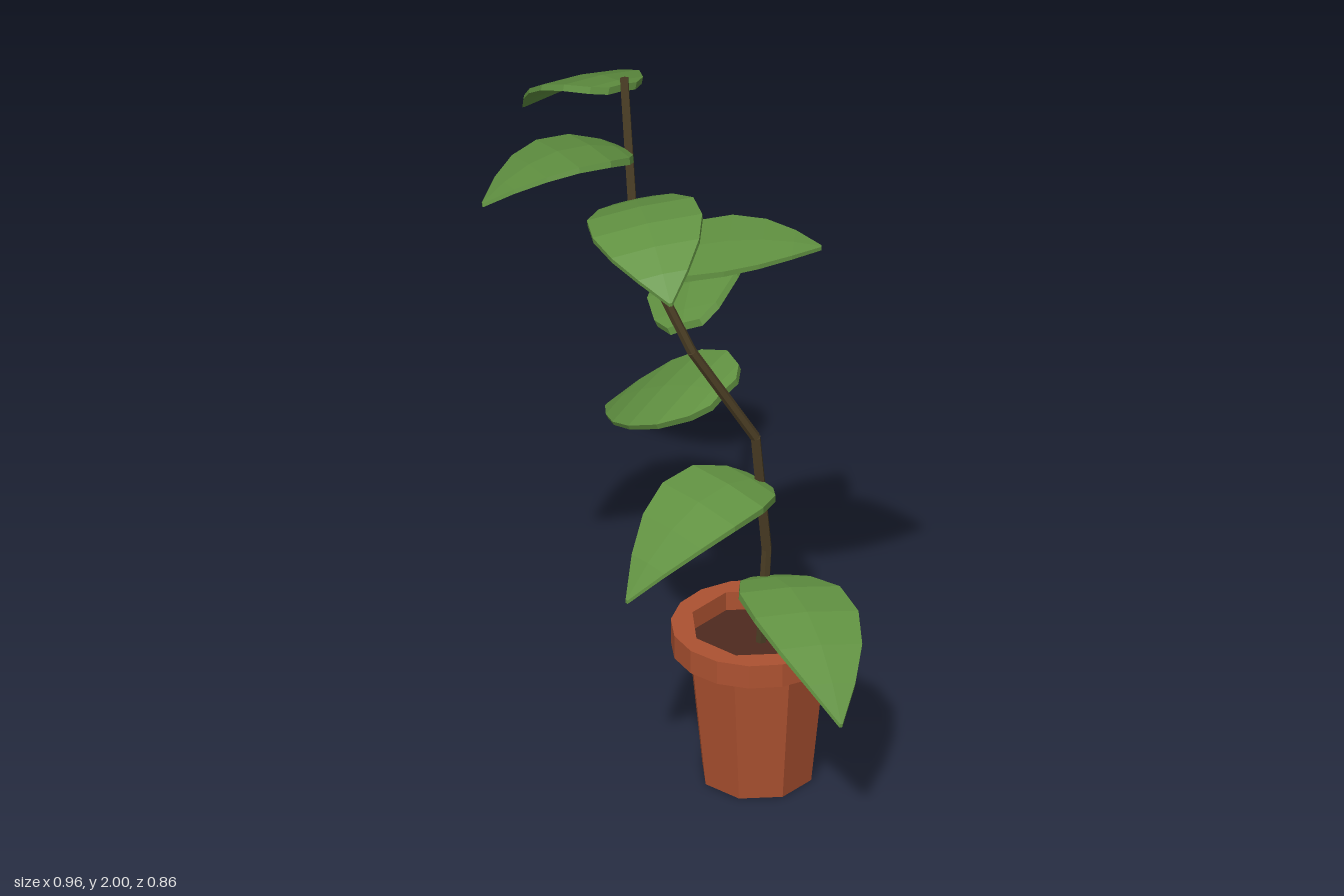
import * as THREE from 'three';

const mat = (color) => new THREE.MeshStandardMaterial({ color, flatShading: true });
const clay = mat(0xad5231), soilMat = mat(0x4f2a1f), bark = mat(0x4a3d24), green = mat(0x629342);

const V = (p) => new THREE.Vector3(...p);
const UP = new THREE.Vector3(0, 1, 0);
const FACET = THREE.MathUtils.degToRad(32); // turn of the eight-sided pot

function add(parent, name, geometry, material) {
  const mesh = new THREE.Mesh(geometry, material);
  mesh.name = name;
  parent.add(mesh);
  return mesh;
}

const polygon = (n, r, start) => Array.from({ length: n }, (_, i) => {
  const a = start + (i / n) * Math.PI * 2;
  return new THREE.Vector2(r * Math.cos(a), r * Math.sin(a));
});

// Eight-sided tapered pot, sixteen-sided rim with an eight-sided opening, soil inside
function makePot() {
  const pot = new THREE.Group();
  pot.name = 'pot';
  pot.position.set(0.19, 0, -0.05);

  add(pot, 'potBody', new THREE.CylinderGeometry(0.182, 0.144, 0.37, 8, 1, false, FACET), clay).position.y = 0.185;

  const ring = new THREE.Shape(polygon(16, 0.217, 0));
  ring.holes.push(new THREE.Path(polygon(8, 0.17, FACET)));
  const rim = add(pot, 'potRim', new THREE.ExtrudeGeometry(ring, { depth: 0.065, bevelEnabled: false }), clay);
  rim.rotation.x = -Math.PI / 2;
  rim.position.y = 0.367;

  const soil = add(pot, 'soil', new THREE.CircleGeometry(0.172, 8, FACET), soilMat);
  soil.rotation.x = -Math.PI / 2;
  soil.position.y = 0.38;
  return pot;
}

// Bent stem of straight tapering pieces
function makeStem() {
  const stem = new THREE.Group();
  stem.name = 'stem';
  const path = [
    [0.2, 0.36, -0.05], [0.215, 0.65, -0.05], [0.19, 0.99, -0.02],
    [0.035, 1.27, 0.045], [-0.11, 1.59, 0.045], [-0.145, 2.0, -0.055],
  ].map(V);
  for (let i = 0; i + 1 < path.length; i++) {
    const along = path[i + 1].clone().sub(path[i]);
    const r = 0.0145 - i * 0.0006;
    const piece = add(stem, 'stemPiece', new THREE.CylinderGeometry(r - 0.0006, r, along.length(), 6), bark);
    piece.position.copy(path[i]).addScaledVector(along, 0.5);
    piece.quaternion.setFromUnitVectors(UP, along.normalize());
  }
  return stem;
}

// Leaf outline: [fraction of length, half width]
const OUTLINE = [[0, 0.05], [0.07, 0.096], [0.24, 0.138], [0.46, 0.142], [0.66, 0.114], [0.84, 0.064], [1, 0.004]];

// Thin solid leaf, swept from base to tip along an arch and rolled about its length
function leafGeometry(base, tip, arch, roll) {
  const chord = tip.clone().sub(base);
  const flat = new THREE.Vector3(chord.x, 0, chord.z).normalize();
  const side = UP.clone().cross(flat).applyAxisAngle(flat, roll);
  const normal = UP.clone().applyAxisAngle(flat, roll);

  const pos = [], index = [], N = 6;
  for (const [t, w] of OUTLINE) {
    const mid = base.clone().addScaledVector(chord, t).addScaledVector(normal, 4 * arch * t * (1 - t));
    const thick = 0.02 - 0.01 * t;
    for (const [s, down] of [[-1, 0], [0, 0], [1, 0], [1, 1], [0, 1], [-1, 1]]) {
      const p = mid.clone().addScaledVector(side, s * w);
      p.addScaledVector(normal, (s ? 0 : 0.05 * w) - down * thick);
      pos.push(p.x, p.y, p.z);
    }
  }
  const last = (OUTLINE.length - 1) * N;
  for (let r = 0; r < last; r += N) {
    for (let k = 0; k < N; k++) {
      const a = r + k, b = r + ((k + 1) % N);
      index.push(a, a + N, b + N, a, b + N, b);
    }
  }
  for (let k = 1; k < N - 1; k++) {
    index.push(0, k, k + 1, last, last + k + 1, last + k);
  }
  const g = new THREE.BufferGeometry();
  g.setAttribute('position', new THREE.Float32BufferAttribute(pos, 3));
  g.setIndex(index);
  g.computeVertexNormals();
  return g;
}

// Base, tip, arch height and roll of each leaf (positive lifts its left edge), lowest first
const LEAVES = [
  [[0.22, 0.565, -0.06], [0.44, 0.39, 0.36], 0.085, -0.15],
  [[0.2, 0.855, -0.04], [-0.11, 0.67, 0.27], 0.09, 0],
  [[0.11, 1.13, 0.0], [-0.21, 0.92, -0.27], 0.04, -0.42],
  [[0.01, 1.33, 0.01], [0.155, 1.33, -0.43], 0.075, -0.5],
  [[-0.075, 1.525, 0.025], [0.36, 1.58, 0.02], 0.028, 0],
  [[-0.115, 1.69, 0.02], [0.015, 1.635, 0.43], 0.065, 0.12],
  [[-0.135, 1.835, 0.02], [-0.48, 1.77, 0.205], 0.055, 0.24],
  [[-0.15, 1.965, -0.08], [-0.42, 1.765, -0.305], 0.045, 0.25],
];

export function createModel() {
  const plant = new THREE.Group();
  plant.name = 'pottedPlant';
  plant.add(makePot(), makeStem());

  const leaves = new THREE.Group();
  leaves.name = 'leaves';
  for (const [base, tip, arch, roll] of LEAVES) {
    add(leaves, 'leaf', leafGeometry(V(base), V(tip), arch, roll), green);
  }
  plant.add(leaves);
  return plant;
}
